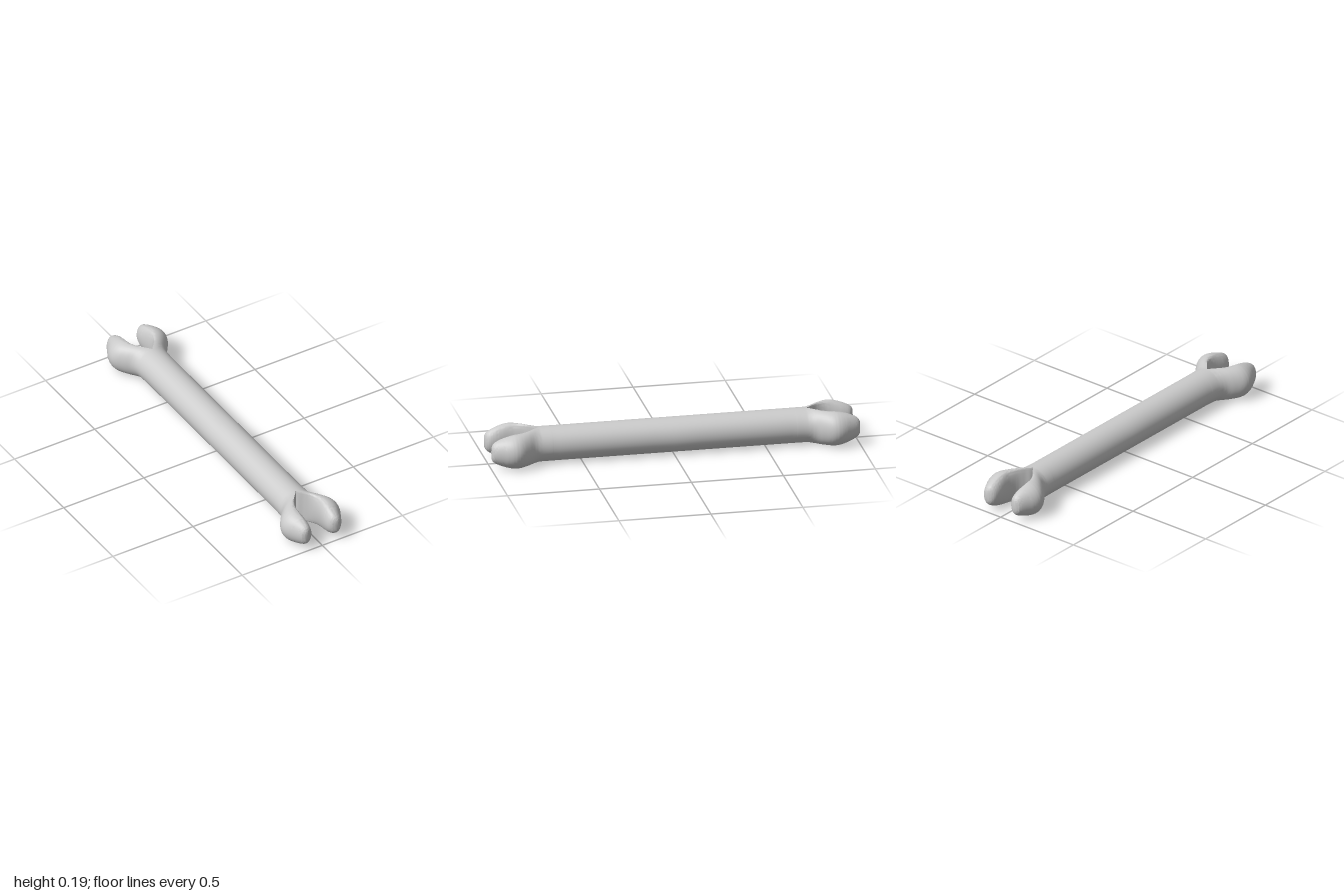
import * as THREE from 'three';
import { mergeVertices, mergeGeometries, toCreasedNormals } from 'three/addons/utils/BufferGeometryUtils.js';

const CENTRE_Y = 0.094;
const SIDES = 20; // facets per half section
const STEPS = 5; // rows per station
const FORK = 3; // station where the shaft splits into two prongs

// stations along one quarter: z, outer x, inner x, x of the crest, half height
const STATIONS = [
  [0, 0.094, 0, 0, 0.094],
  [0.58, 0.094, 0, 0, 0.094],
  [0.67, 0.095, 0, 0, 0.094],
  [0.73, 0.1, 0, 0.004, 0.094],
  [0.765, 0.112, 0.026, 0.03, 0.094],
  [0.8, 0.138, 0.045, 0.058, 0.094],
  [0.84, 0.165, 0.054, 0.08, 0.094],
  [0.875, 0.174, 0.055, 0.088, 0.093],
  [0.91, 0.167, 0.052, 0.09, 0.086],
  [0.945, 0.15, 0.05, 0.09, 0.075],
  [0.975, 0.134, 0.054, 0.091, 0.061],
  [0.992, 0.122, 0.066, 0.093, 0.048],
  [1, 0.108, 0.082, 0.096, 0.034],
];

// smooth rows through the stations
function sampleRows() {
  const sides = new THREE.CatmullRomCurve3(STATIONS.map((s) => new THREE.Vector3(s[0], s[1], s[2])), false, 'catmullrom', 0.5);
  const crest = new THREE.CatmullRomCurve3(STATIONS.map((s) => new THREE.Vector3(s[0], s[3], s[4])), false, 'catmullrom', 0.5);
  const count = (STATIONS.length - 1) * STEPS;
  const rows = [];
  for (let i = 0; i <= count; i++) {
    const a = sides.getPoint(i / count);
    const b = crest.getPoint(i / count);
    const split = i > FORK * STEPS;
    rows.push({
      z: Math.min(a.x, 1),
      outer: a.y,
      inner: split ? Math.max(a.z, 0) : 0,
      crest: split ? Math.max(b.y, 0) : 0,
      height: Math.min(b.z, 0.094),
    });
  }
  return rows;
}

// one quarter: half the shaft plus one prong, mirrored by the signs sx and sz
function quarter(rows, sx, sz) {
  const positions = [];
  const indices = [];
  const flip = sx * sz < 0;
  const add = (x, y, z) => positions.push(sx * x, CENTRE_Y + y, sz * z) / 3 - 1;
  const face = (a, b, c) => (flip ? indices.push(a, c, b) : indices.push(a, b, c));

  // skin over a run of rows, returning the vertex ids of its last row
  const skin = (run, edge, from, to) => {
    let previous = null;
    for (const r of run) {
      const ring = [];
      for (let j = 0; j <= SIDES; j++) {
        const angle = from + ((to - from) * j) / SIDES;
        const x = r.crest + (r[edge] - r.crest) * Math.abs(Math.cos(angle));
        ring.push(add(x, r.height * Math.sin(angle), r.z));
      }
      if (previous) {
        for (let j = 0; j < SIDES; j++) {
          face(previous[j], ring[j + 1], ring[j]);
          face(previous[j], previous[j + 1], ring[j + 1]);
        }
      }
      previous = ring;
    }
    return previous;
  };

  const half = Math.PI / 2;
  const outerEnd = skin(rows, 'outer', -half, half);
  const innerEnd = skin(rows.slice(FORK * STEPS), 'inner', half, 3 * half);

  // blunt tip
  const last = rows[rows.length - 1];
  const tip = add(last.crest, 0, last.z);
  for (const ring of [outerEnd, innerEnd]) {
    for (let j = 0; j < SIDES; j++) face(ring[j], ring[j + 1], tip);
  }

  const geometry = new THREE.BufferGeometry();
  geometry.setAttribute('position', new THREE.Float32BufferAttribute(positions, 3));
  geometry.setIndex(indices);
  return geometry;
}

export function createModel() {
  const group = new THREE.Group();
  group.name = 'forkedRod';
  const rows = sampleRows();
  const parts = [];
  for (const sx of [1, -1]) for (const sz of [1, -1]) parts.push(quarter(rows, sx, sz));

  // weld the quarters so the shaft shades smoothly and the forks keep a crease
  const welded = mergeVertices(mergeGeometries(parts), 1e-5);
  const material = new THREE.MeshStandardMaterial({ color: 0xcccccc, side: THREE.DoubleSide });
  const rod = new THREE.Mesh(toCreasedNormals(welded, 0.9), material);
  rod.name = 'shaftWithForkedEnds';
  group.add(rod);
  return group;
}
